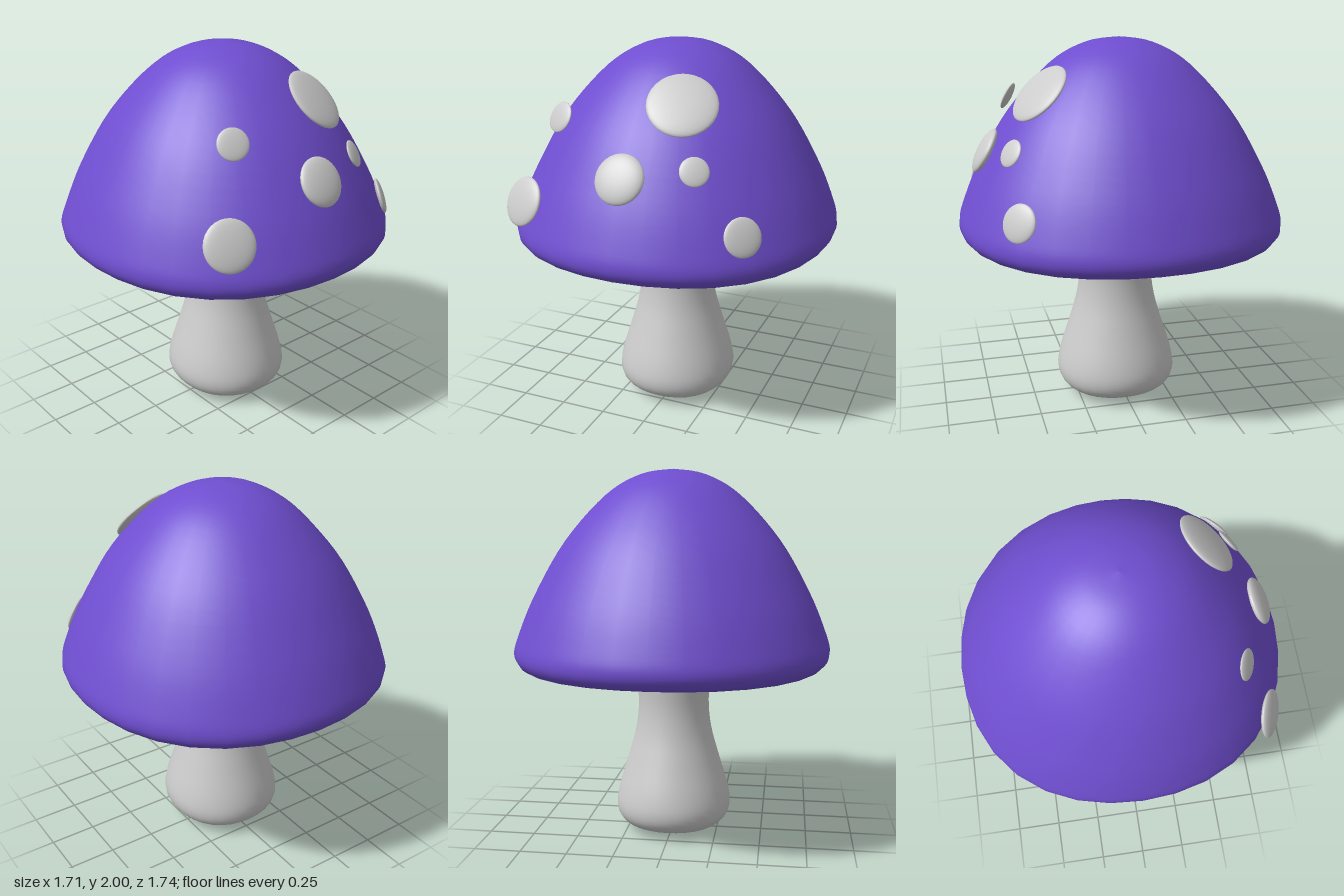
import * as THREE from 'three';

const grey = new THREE.MeshStandardMaterial({ color: 0xcccccc });
const purple = new THREE.MeshStandardMaterial({ color: 0x6f4ed0 });

// Smooth lathe through a few [radius, height] points, its plan slightly squared
function turned(name, points, samples, squareness, material) {
  const curve = new THREE.SplineCurve(points.map(([r, y]) => new THREE.Vector2(r, y)));
  const profile = curve.getPoints(samples);
  profile.forEach(p => { p.x = Math.max(p.x, 0); });
  const geometry = new THREE.LatheGeometry(profile, 32);
  const pos = geometry.attributes.position;
  for (let i = 0; i < pos.count; i++) {
    const x = pos.getX(i), z = pos.getZ(i);
    const swell = 1 + squareness * Math.sin(2 * Math.atan2(z, x)) ** 2;
    pos.setX(i, x * swell);
    pos.setZ(i, z * swell);
  }
  const mesh = new THREE.Mesh(geometry, material);
  mesh.name = name;
  return mesh;
}

export function createModel() {
  const model = new THREE.Group();
  model.name = 'mushroom';

  // Hollow cap: inner dome down, round the rim, outer dome up
  const cap = turned('cap', [
    [0, 1.78], [0.2, 1.72], [0.37, 1.53], [0.5, 1.3], [0.59, 1.1], [0.64, 1.0],
    [0.7, 0.952], [0.79, 0.945], [0.845, 0.97], [0.871, 1.03], [0.845, 1.13],
    [0.755, 1.34], [0.59, 1.62], [0.37, 1.86], [0.18, 1.97], [0, 2.0],
  ], 75, 0.032, purple);
  cap.scale.x = 0.982;
  model.add(cap);

  // Stem with a bulging foot, running up into the cap
  const stem = turned('stem', [
    [0, 0.0], [0.12, 0.008], [0.23, 0.03], [0.295, 0.072], [0.32, 0.14], [0.306, 0.24],
    [0.255, 0.41], [0.212, 0.57], [0.196, 0.73], [0.212, 0.93], [0.229, 1.1],
    [0.225, 1.3], [0.21, 1.5], [0.12, 1.58], [0, 1.6],
  ], 56, 0.028, grey);
  stem.position.z = 0.022;
  stem.scale.z = 1.035;
  model.add(stem);

  // Flattened round spots: centre, facing direction, radius, half thickness
  const spots = [
    [[0.207, 1.745, 0.457], [0.26, 0.68, 0.68], 0.173, 0.03],
    [[-0.402, 1.655, 0.545], [-0.37, 0.44, 0.82], 0.078, 0.015],
    [[-0.548, 1.247, 0.695], [-0.35, 0.39, 0.85], 0.126, 0.027],
    [[0, 1.43, 0.72], [0, 0.49, 0.87], 0.125, 0.035],
    [[0.335, 1.477, 0.623], [0.42, 0.47, 0.77], 0.0715, 0.015],
    [[0.575, 1.192, 0.623], [0.65, 0.34, 0.68], 0.0955, 0.02],
  ];
  const ball = new THREE.SphereGeometry(1, 32, 16);
  const forward = new THREE.Vector3(0, 0, 1);
  spots.forEach(([centre, facing, radius, depth], i) => {
    const spot = new THREE.Mesh(ball, grey);
    spot.name = `spot${i + 1}`;
    spot.position.set(...centre);
    spot.quaternion.setFromUnitVectors(forward, new THREE.Vector3(...facing).normalize());
    spot.scale.set(radius, radius, depth);
    model.add(spot);
  });

  return model;
}
